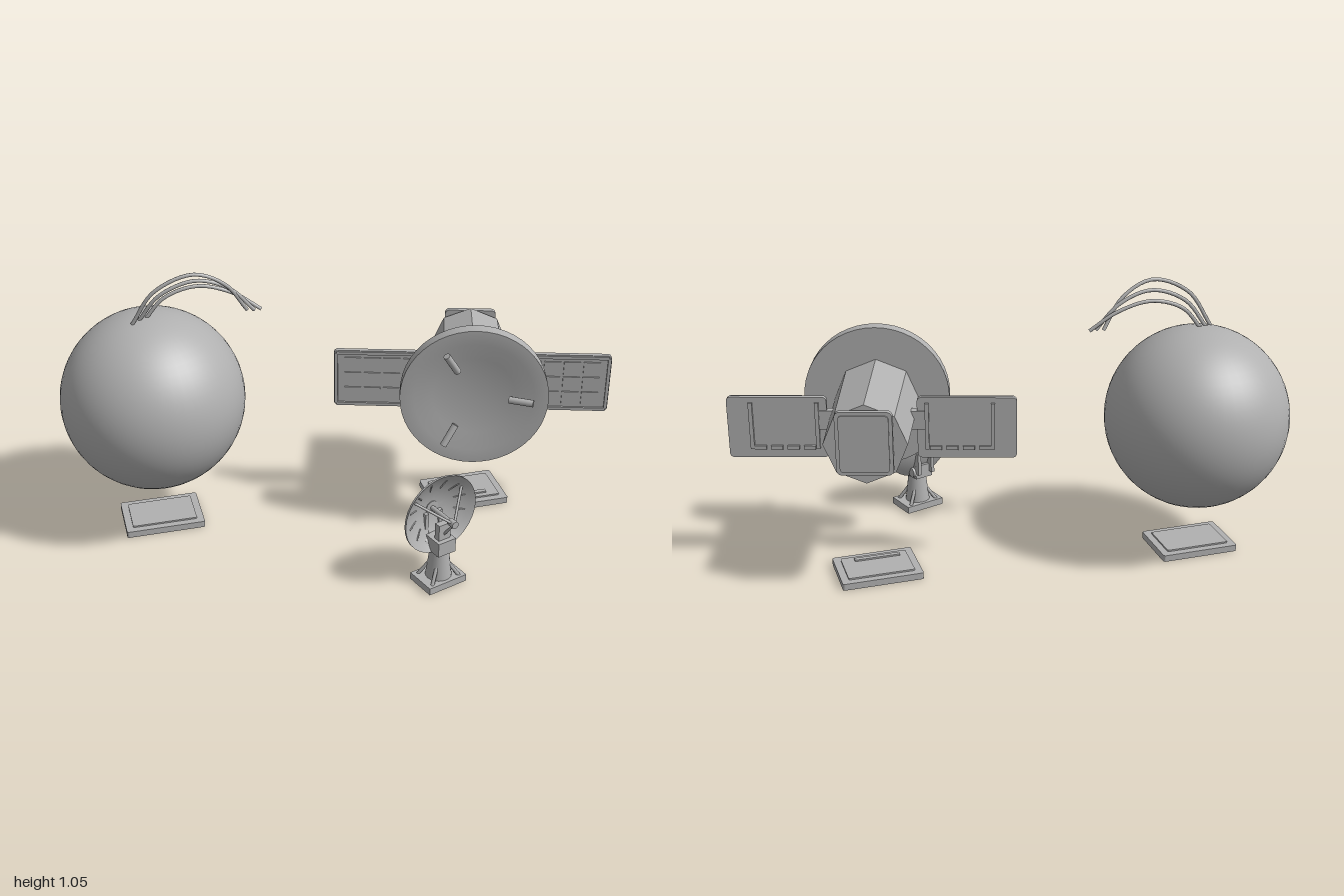
import * as THREE from 'three';
import { toCreasedNormals } from 'three/addons/utils/BufferGeometryUtils.js';

const V = (x, y, z) => new THREE.Vector3(x, y, z);

export function createModel() {
  const grey = new THREE.MeshStandardMaterial({ color: 0xb0b0b0 });
  grey.name = 'plain grey';

  // helpers
  const add = (parent, name, geo, x = 0, y = 0, z = 0) => {
    const m = new THREE.Mesh(geo, grey);
    m.name = name;
    m.position.set(x, y, z);
    parent.add(m);
    return m;
  };
  const group = (parent, name, x, y, z, ry = 0) => {
    const g = new THREE.Group();
    g.name = name;
    g.position.set(x, y, z);
    g.rotation.y = ry;
    parent.add(g);
    return g;
  };
  const box = (p, name, w, h, d, x, y, z) => add(p, name, new THREE.BoxGeometry(w, h, d), x, y, z);
  const rod = (p, name, a, b, r, sides = 10) => {
    const d = b.clone().sub(a);
    const m = add(p, name, new THREE.CylinderGeometry(r, r, d.length(), sides));
    m.position.copy(a).addScaledVector(d, 0.5);
    m.quaternion.setFromUnitVectors(V(0, 1, 0), d.normalize());
    return m;
  };
  // rounded plate facing z, centred
  const plate = (w, h, t, r) => {
    const s = new THREE.Shape(), a = w / 2, b = h / 2;
    s.absarc(a - r, b - r, r, 0, Math.PI / 2);
    s.absarc(-a + r, b - r, r, Math.PI / 2, Math.PI);
    s.absarc(-a + r, -b + r, r, Math.PI, Math.PI * 1.5);
    s.absarc(a - r, -b + r, r, Math.PI * 1.5, Math.PI * 2);
    return new THREE.ExtrudeGeometry(s, { depth: t, bevelEnabled: false, curveSegments: 4 }).translate(0, 0, -t / 2);
  };
  // profile revolved around the z axis
  const turned = (pts, seg) => toCreasedNormals(
    new THREE.LatheGeometry(pts.map(p => new THREE.Vector2(p[0], p[1])), seg).rotateX(Math.PI / 2), 0.5);

  const root = new THREE.Group();
  root.name = 'spaceSet';

  // ball with three arched wires
  const ball = group(root, 'ballGroup', -0.66, 0.531, -0.205);
  add(ball, 'ball', new THREE.SphereGeometry(0.339, 48, 32));
  [
    [V(-0.72, 0.86, -0.155), V(-0.64, 0.985, -0.13), V(-0.5, 1.04, -0.12), V(-0.385, 0.985, -0.125), V(-0.31, 0.875, -0.14)],
    [V(-0.695, 0.86, -0.175), V(-0.62, 0.96, -0.15), V(-0.49, 1.007, -0.14), V(-0.37, 0.965, -0.135), V(-0.285, 0.875, -0.13)],
    [V(-0.67, 0.86, -0.185), V(-0.6, 0.94, -0.173), V(-0.48, 0.975, -0.165), V(-0.355, 0.94, -0.15), V(-0.26, 0.875, -0.133)],
  ].forEach(p => add(root, 'archedWire', new THREE.TubeGeometry(new THREE.CatmullRomCurve3(p), 24, 0.007, 8)));

  // ground plates
  const groundPlate = (name, x, z) => {
    const g = group(root, name, x, 0, z);
    add(g, 'slab', plate(0.298, 0.212, 0.025, 0.008).rotateX(-Math.PI / 2), 0, 0.0125, 0);
    add(g, 'raisedPanel', plate(0.245, 0.158, 0.007, 0.006).rotateX(-Math.PI / 2), 0, 0.0275, 0);
    return g;
  };
  groundPlate('ballPlate', -0.66, -0.203);
  const satPlate = groundPlate('satellitePlate', 0.522, -0.06);
  box(satPlate, 'plateBar', 0.17, 0.008, 0.018, -0.01, 0.033, 0.05);

  // satellite
  const sat = group(root, 'satellite', 0.437, 0.595, 0.22, -0.31);
  add(sat, 'frontDisc', turned([[0, -0.05], [0.267, -0.05], [0.267, 0], [0.215, 0], [0.15, -0.016], [0, -0.016]], 48));
  for (let i = 0; i < 3; i++) {
    const a = i * Math.PI * 2 / 3, c = Math.cos(a), s = Math.sin(a);
    rod(sat, 'discRod', V(c * 0.125, s * 0.125, 0.005), V(c * 0.21, s * 0.21, 0.03), 0.013);
  }
  const body = new THREE.CylinderGeometry(0.156, 0.145, 0.43, 8).toNonIndexed();
  body.computeVertexNormals();
  add(sat, 'octagonBody', body.rotateX(Math.PI / 2), 0, -0.01, -0.26);

  // rear panel
  add(sat, 'rearMount', plate(0.16, 0.19, 0.02, 0.01), 0, 0.005, -0.48);
  add(sat, 'rearPanel', plate(0.195, 0.23, 0.02, 0.018), 0, 0.005, -0.497);
  add(sat, 'rearPanelFace', plate(0.17, 0.205, 0.006, 0.012), 0, 0.005, -0.509);

  // solar wings
  for (const s of [1, -1]) {
    const wing = group(sat, s > 0 ? 'leftWing' : 'rightWing', 0, -0.045, -0.23);
    add(wing, 'wingFrame', plate(0.355, 0.23, 0.018, 0.015), s * 0.3375, 0, 0);
    for (const e of [-1, 1]) {
      box(wing, 'rimLong', 0.335, 0.012, 0.01, s * 0.3375, e * 0.107, 0.012);
      box(wing, 'rimShort', 0.012, 0.21, 0.01, s * (0.3375 + e * 0.169), 0, 0.012);
    }
    for (let c = 0; c < 4; c++) for (let r = -1; r <= 1; r++)
      box(wing, 'solarCell', 0.062, 0.052, 0.006, s * (0.225 + c * 0.073), r * 0.062, 0.011);
    for (const x of [0.195, 0.43]) box(wing, 'backBar', 0.014, 0.175, 0.012, s * x, 0.008, -0.014);
    for (let i = 0; i < 4; i++)
      box(wing, 'backClip', 0.042, 0.014, 0.012, s * (0.225 + i * 0.059), -0.075, -0.014);
    box(wing, 'wingMount', 0.06, 0.07, 0.03, s * 0.16, 0.03, 0);
  }

  // ground antenna
  const ant = group(root, 'groundAntenna', 0.243, 0, 0.456, 0.314);
  box(ant, 'footPlate', 0.162, 0.027, 0.12, 0, 0.0135, 0);
  add(ant, 'pedestal', new THREE.CylinderGeometry(0.034, 0.048, 0.115, 20), 0, 0.083, 0);
  for (const s of [1, -1]) for (const e of [1, -1])
    rod(ant, 'footGusset', V(s * 0.06, 0.022, e * 0.045), V(s * 0.025, 0.08, e * 0.022), 0.007, 6);
  box(ant, 'yokeBox', 0.075, 0.055, 0.1, 0, 0.165, -0.005);
  const axle = add(ant, 'tiltAxle', new THREE.CylinderGeometry(0.02, 0.02, 0.095, 16), 0, 0.163, -0.035);
  axle.rotation.z = Math.PI / 2;
  for (const s of [1, -1]) box(ant, 'yokeArm', 0.014, 0.11, 0.035, s * 0.03, 0.215, -0.055);
  box(ant, 'frontPost', 0.05, 0.08, 0.025, 0, 0.215, 0.015);

  // dish with ribs, feed and tripod
  const dish = group(ant, 'dish', 0, 0.283, 0);
  const R = 0.153, depth = 0.058, bowl = r => depth * ((r / R) ** 2 - 1);
  const prof = [];
  for (let i = 0; i <= 8; i++) prof.push([R * i / 8, bowl(R * i / 8) - 0.005]);
  for (let i = 8; i >= 0; i--) prof.push([R * i / 8, bowl(R * i / 8) + 0.003]);
  add(dish, 'dishBowl', turned(prof, 32));
  add(dish, 'backHub', new THREE.CylinderGeometry(0.026, 0.026, 0.04, 20).rotateX(Math.PI / 2), 0, 0, -0.07);
  add(dish, 'hubRing', new THREE.TorusGeometry(0.02, 0.006, 8, 20), 0, 0, -0.09);
  for (let i = 0; i < 12; i++) {
    const a = (i + 0.5) * Math.PI / 6, c = Math.cos(a), s = Math.sin(a);
    rod(dish, 'dishRib', V(c * 0.085, s * 0.085, bowl(0.085) + 0.003), V(c * 0.125, s * 0.125, bowl(0.125) + 0.003), 0.003, 6);
  }
  for (const deg of [35, 145, 270]) {
    const a = deg * Math.PI / 180, c = Math.cos(a), s = Math.sin(a);
    rod(dish, 'feedStrut', V(c * 0.125, s * 0.125, bowl(0.125)), V(c * 0.01, s * 0.01, 0.07), 0.005, 8);
  }
  rod(dish, 'feedStem', V(0, 0, -0.05), V(0, 0, 0.06), 0.009);
  add(dish, 'feedHead', new THREE.CylinderGeometry(0.014, 0.014, 0.03, 16).rotateX(Math.PI / 2), 0, 0, 0.07);

  return root;
}
